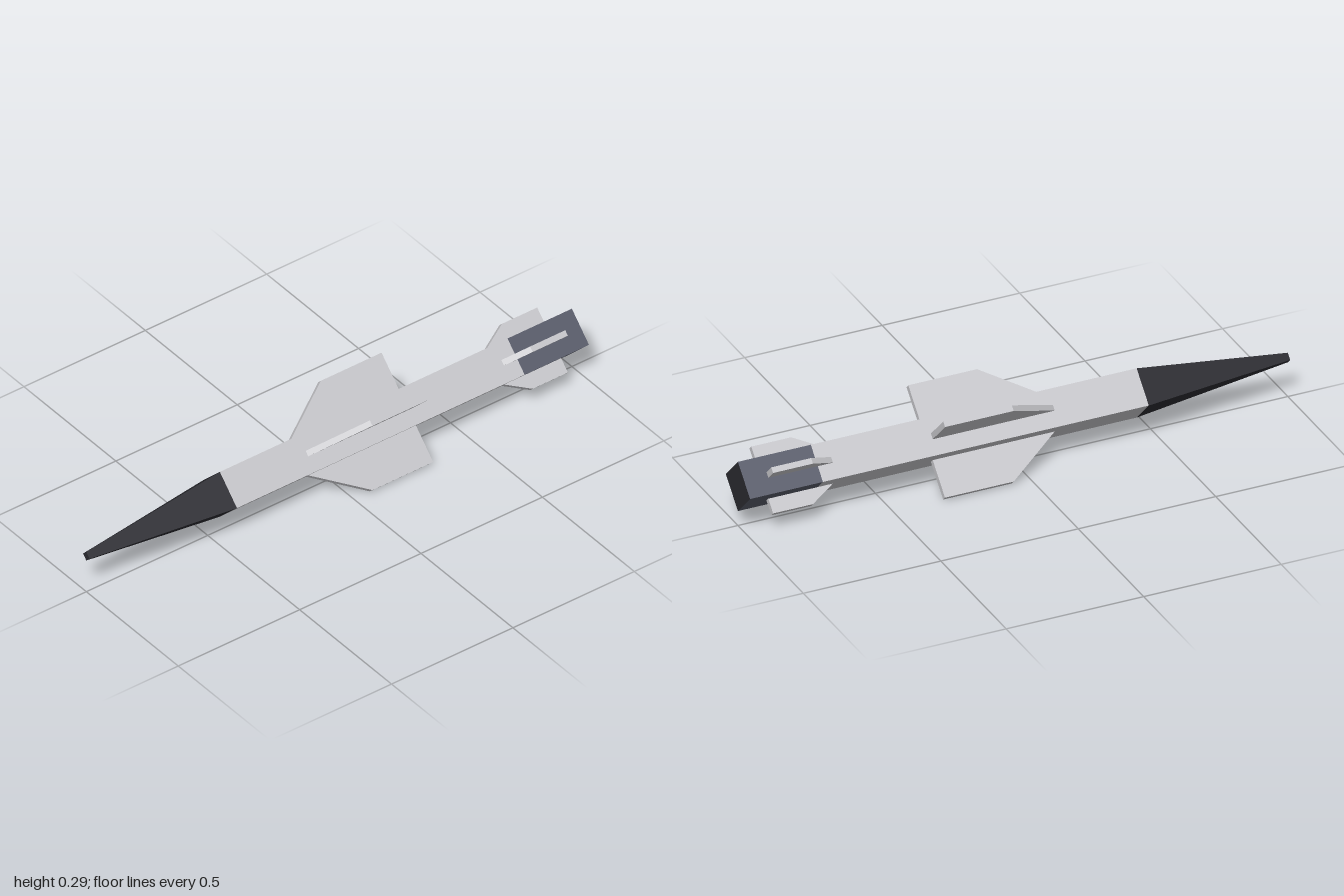
import * as THREE from 'three';

const AXIS_Y = 0.147;      // height of the body axis
const RADIUS = 0.093;      // centre to corner of the square body
const FIN_THICKNESS = 0.02;

// Four-sided section along z, standing on its corner, with flat facets
function section(name, rFront, rBack, zFront, zBack, material) {
  const geometry = new THREE.CylinderGeometry(rFront, rBack, zFront - zBack, 4)
    .rotateX(Math.PI / 2)
    .translate(0, 0, (zFront + zBack) / 2)
    .toNonIndexed();
  geometry.computeVertexNormals();
  const mesh = new THREE.Mesh(geometry, material);
  mesh.name = name;
  return mesh;
}

// Swept plate: x runs outward from the axis, z along the body
function finGeometry(rootR, tipR, zBack, zTipFront, zRootFront) {
  const shape = new THREE.Shape([
    new THREE.Vector2(rootR, zBack),
    new THREE.Vector2(tipR, zBack),
    new THREE.Vector2(tipR, zTipFront),
    new THREE.Vector2(rootR, zRootFront),
  ]);
  return new THREE.ExtrudeGeometry(shape, { depth: FIN_THICKNESS, bevelEnabled: false })
    .translate(0, 0, -FIN_THICKNESS / 2)
    .rotateX(Math.PI / 2);
}

// Four copies of a fin, one on each flat side of the body
function finSet(name, geometry, material) {
  const set = new THREE.Group();
  set.name = name + 's';
  for (let i = 0; i < 4; i++) {
    const fin = new THREE.Mesh(geometry, material);
    fin.name = name;
    fin.rotation.z = Math.PI / 4 + (i * Math.PI) / 2;
    set.add(fin);
  }
  return set;
}

export function createModel() {
  const paint = (name, color) => {
    const material = new THREE.MeshStandardMaterial({ color });
    material.name = name;
    return material;
  };
  const grey = paint('light grey', 0xc6c6ca);
  const slate = paint('slate', 0x585b69);
  const black = paint('near black', 0x2a2a30);

  const model = new THREE.Group();
  model.name = 'missile';
  const hull = new THREE.Group();
  hull.name = 'hull';
  hull.position.y = AXIS_Y;
  model.add(hull);

  hull.add(
    section('noseCone', 0.018, RADIUS, 1, 0.45, black),
    section('body', RADIUS, RADIUS, 0.45, -0.735, grey),
    // Engine section with a dark rear face
    section('engine', RADIUS, RADIUS, -0.735, -1, [slate, slate, black]),
    finSet('mainFin', finGeometry(0.06, 0.1985, -0.317, -0.067, 0.135), grey),
    finSet('tailFin', finGeometry(0.06, 0.118, -0.915, -0.77, -0.67), grey),
  );
  return model;
}
